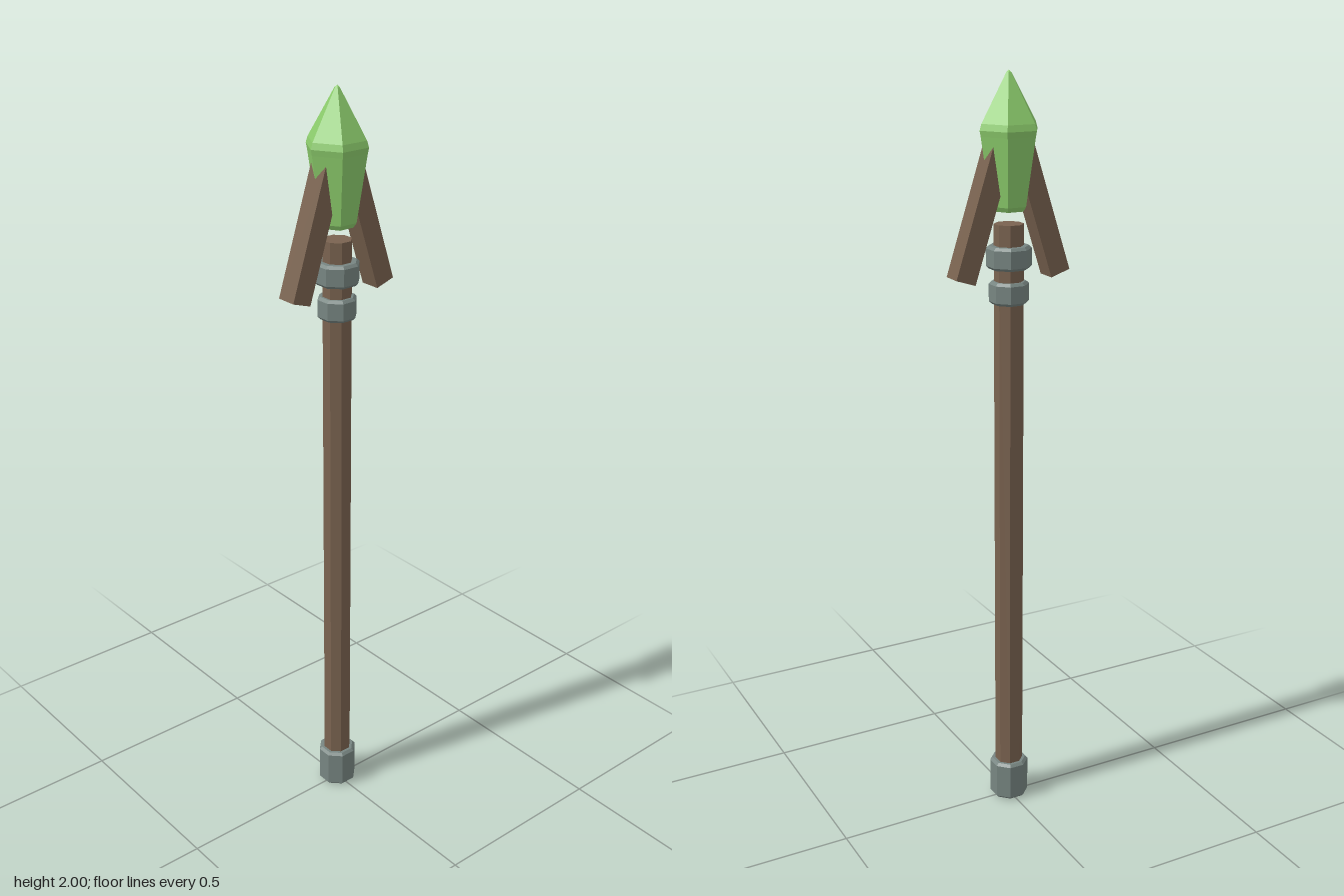
import * as THREE from 'three';

const material = (name, color) => {
  const m = new THREE.MeshStandardMaterial({ color, flatShading: true });
  m.name = name;
  return m;
};

export function createModel() {
  const group = new THREE.Group();
  const wood = material('wood', 0x7a6350);
  const metal = material('metal', 0x778581);
  const crystalGreen = material('crystal green', 0x8ccc6c);

  const add = (name, geometry, mat) => {
    const mesh = new THREE.Mesh(geometry, mat);
    mesh.name = name;
    group.add(mesh);
    return mesh;
  };

  // Faceted solid turned from [radius, height] pairs, listed bottom to top
  const faceted = (points, sides) => new THREE.LatheGeometry(
    points.map(([r, y]) => new THREE.Vector2(r, y)), sides, Math.PI / sides);

  // Octagonal shaft
  add('shaft', faceted([[0, 0], [0.038, 0], [0.038, 1.63], [0, 1.63]], 8), wood);

  // Bevelled metal collars around the shaft: base cap and two upper rings
  const collar = (name, y0, y1, r) => {
    const b = 0.007;
    add(name, faceted([
      [0.036, y0], [r - b, y0], [r, y0 + b], [r, y1 - b], [r - b, y1], [0.036, y1],
    ], 8), metal);
  };
  collar('baseCap', 0.003, 0.113, 0.053);
  collar('lowerRing', 1.428, 1.486, 0.051);
  collar('upperRing', 1.518, 1.576, 0.058);

  // Six-sided crystal head with softened edges
  add('crystal', faceted([
    [0, 1.66], [0.042, 1.663], [0.05, 1.675], [0.077, 1.845],
    [0.08, 1.86], [0.075, 1.876], [0.007, 1.994], [0, 2],
  ], 6), crystalGreen);

  // Slanted wooden prongs, with their tops sunk into the crystal
  const tilt = Math.PI / 10;
  const length = 0.34;
  for (const side of [-1, 1]) {
    const prong = add(side > 0 ? 'leftProng' : 'rightProng',
      new THREE.BoxGeometry(0.055, length, 0.056), wood);
    prong.rotation.z = side * tilt;
    prong.position.set(
      side * (0.134 - Math.sin(tilt) * length / 2),
      1.497 + Math.cos(tilt) * length / 2,
      0);
  }

  return group;
}
